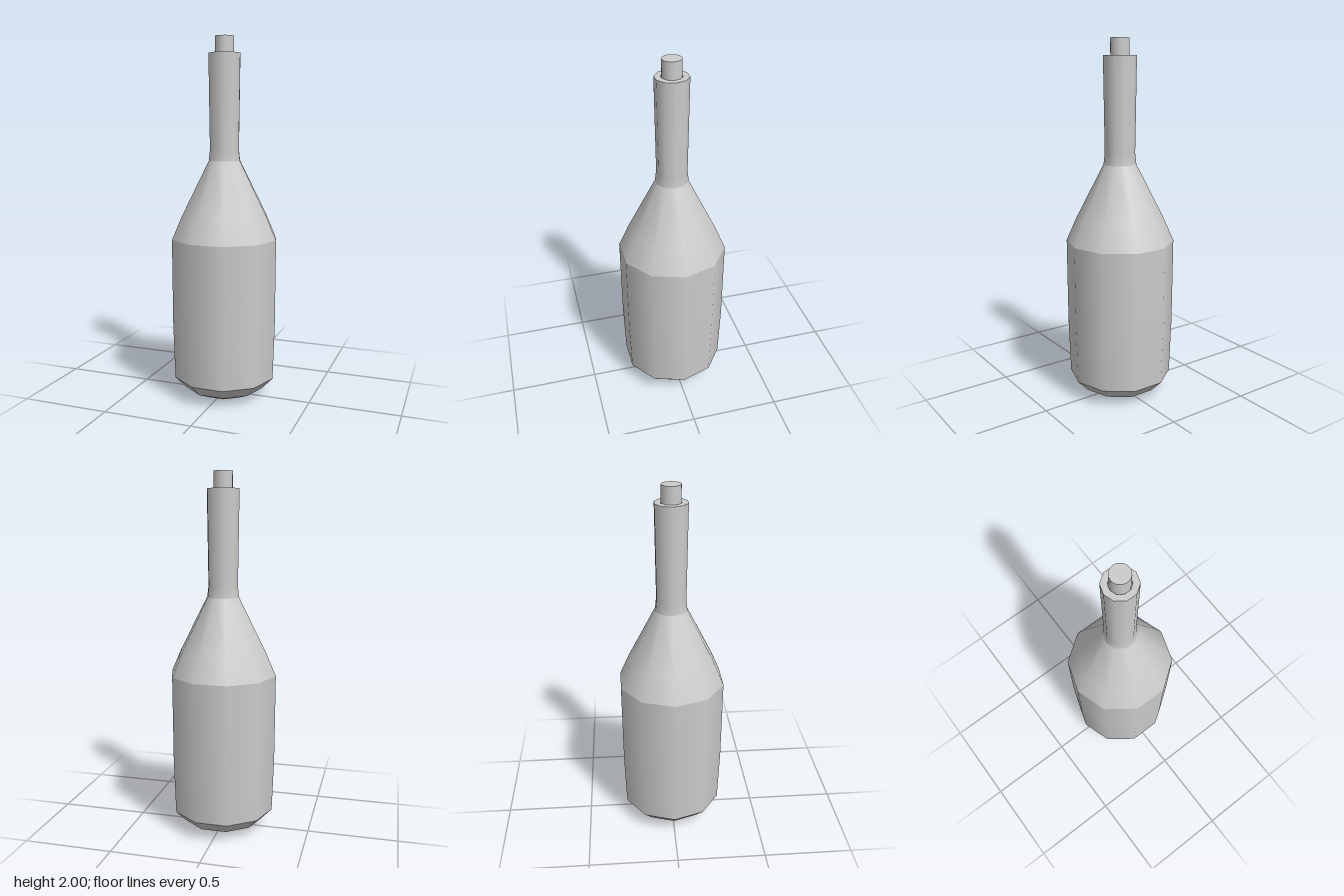
import * as THREE from 'three';

const SIDES = 10;

export function createModel() {
  const model = new THREE.Group();
  const material = new THREE.MeshStandardMaterial({ color: 0xcccccc, side: THREE.DoubleSide });

  // Turned section; smooth inside a section, sharp where sections meet
  const turn = (name, profile, sides = SIDES) => {
    const points = profile.map(([r, y]) => new THREE.Vector2(r, y));
    const mesh = new THREE.Mesh(new THREE.LatheGeometry(points, sides, Math.PI / 2), material);
    mesh.name = name;
    model.add(mesh);
  };

  // Bottle, from the base up to the mouth
  turn('base', [[0, 0], [0.14, 0.005], [0.225, 0.045], [0.288, 0.11]]);
  turn('body', [[0.288, 0.11], [0.298, 0.42], [0.3, 0.9]]);
  turn('shoulder', [[0.3, 0.9], [0.243, 1.03], [0.09, 1.33]]);
  turn('neck', [[0.09, 1.33], [0.083, 1.39], [0.09, 1.91]]);
  turn('rim', [[0.09, 1.91], [0.056, 1.91]]);
  turn('mouth', [[0.056, 1.91], [0.056, 1.75]]);

  // Cork standing in the mouth
  const cork = new THREE.Mesh(new THREE.CylinderGeometry(0.052, 0.052, 0.25, 16), material);
  cork.name = 'cork';
  cork.position.y = 1.875;
  model.add(cork);

  return model;
}
